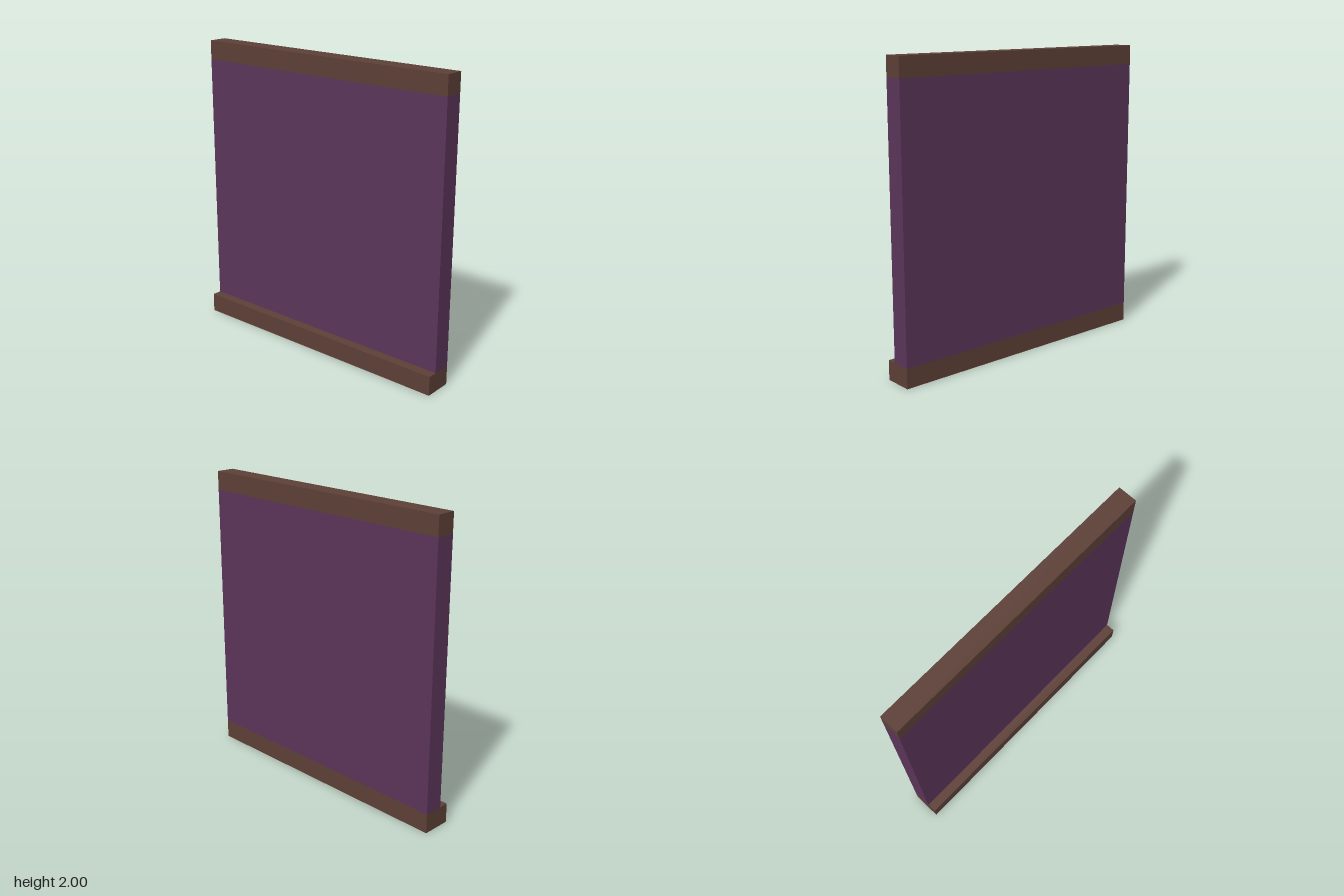
import * as THREE from 'three';

const HALF_W = 0.966, BACK = -0.097, FACE = 0.032, LEDGE = 0.097;
const BASE_TOP = 0.13, RAIL_BOTTOM = 1.872, TOP = 2;

export function createModel() {
  const model = new THREE.Group();
  model.name = 'wallPanel';

  const material = (name, color) => {
    const m = new THREE.MeshStandardMaterial({ color, side: THREE.DoubleSide });
    m.name = name;
    return m;
  };
  const wood = material('darkWood', 0x5d4037);
  const paint = material('plumPaint', 0x5c355a);

  // One flat sheet, turned to face outwards
  const sheet = (group, name, mat, w, h, pos, rx = 0, ry = 0) => {
    const mesh = new THREE.Mesh(new THREE.PlaneGeometry(w, h), mat);
    mesh.name = name;
    mesh.position.set(...pos);
    mesh.rotation.set(rx, ry, 0);
    group.add(mesh);
  };

  // A hollow band of the wall: front, back and two ends
  const band = (name, mat, y0, y1, front) => {
    const group = new THREE.Group();
    group.name = name;
    const h = y1 - y0, y = (y0 + y1) / 2, depth = front - BACK, z = (front + BACK) / 2;
    sheet(group, name + 'Front', mat, 2 * HALF_W, h, [0, y, front]);
    sheet(group, name + 'Back', mat, 2 * HALF_W, h, [0, y, BACK], 0, Math.PI);
    for (const side of [-1, 1]) {
      sheet(group, name + (side > 0 ? 'LeftEnd' : 'RightEnd'), mat, depth, h,
        [side * HALF_W, y, z], 0, side * Math.PI / 2);
    }
    model.add(group);
    return group;
  };

  // Horizontal cover between two depths
  const cover = (group, name, y, z0, z1) =>
    sheet(group, name, wood, 2 * HALF_W, z1 - z0, [0, y, (z0 + z1) / 2], -Math.PI / 2);

  // Baseboard, open underneath, with a ledge in front of the wall
  const base = band('baseboard', wood, 0, BASE_TOP, LEDGE);
  cover(base, 'baseboardLedge', BASE_TOP, FACE, LEDGE);

  // Painted wall and wooden top rail
  band('wall', paint, BASE_TOP, RAIL_BOTTOM, FACE);
  const rail = band('topRail', wood, RAIL_BOTTOM, TOP, FACE);
  cover(rail, 'topRailCap', TOP, BACK, FACE);

  return model;
}
